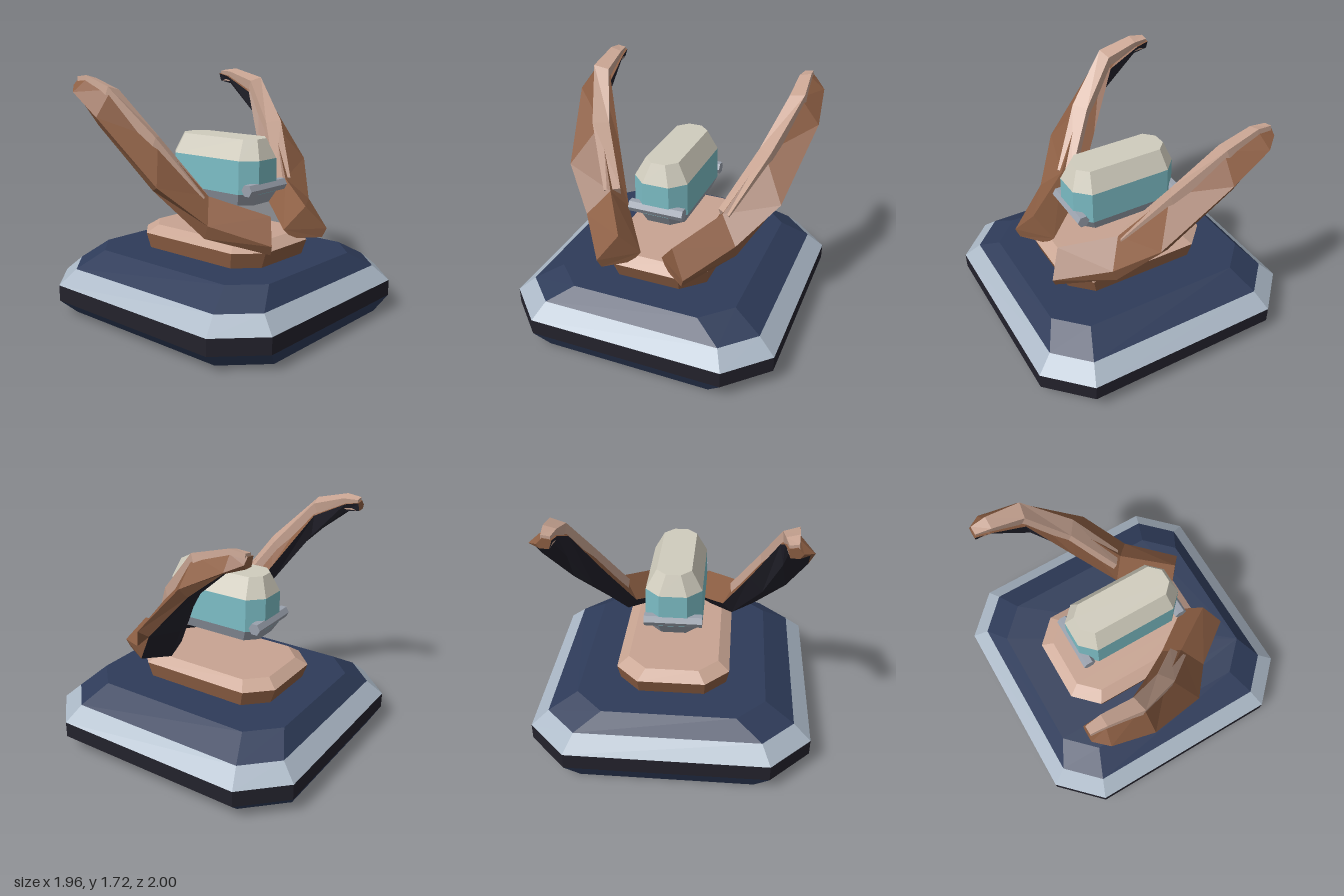
import * as THREE from 'three';

const mat = (name, color, side = THREE.FrontSide) => {
  const m = new THREE.MeshStandardMaterial({ color, side });
  m.name = name;
  return m;
};

// Flat-faced loft through rings of equal length; "sides" picks which strips to build.
function loft(rings, { sides = null, start = false, end = false, flip = false } = {}) {
  const out = [];
  const tri = (a, b, c) => out.push(...a, ...(flip ? c : b), ...(flip ? b : c));
  const n = rings[0].length;
  for (let r = 0; r < rings.length - 1; r++) {
    const lo = rings[r], hi = rings[r + 1];
    for (let i = 0; i < n; i++) {
      if (sides && !sides.includes(i)) continue;
      const j = (i + 1) % n;
      tri(lo[i], lo[j], hi[j]);
      tri(lo[i], hi[j], hi[i]);
    }
  }
  const first = rings[0], last = rings[rings.length - 1];
  for (let i = 1; i < n - 1; i++) {
    if (start) tri(first[0], first[i + 1], first[i]);
    if (end) tri(last[0], last[i], last[i + 1]);
  }
  const g = new THREE.BufferGeometry();
  g.setAttribute('position', new THREE.Float32BufferAttribute(out, 3));
  g.computeVertexNormals();
  return g;
}

// Rectangle with cut corners at height y: half sizes hx, hz and corner cut c.
function octagon(y, hx, hz, c) {
  const x = hx - c, z = hz - c;
  return [[-x, hz], [x, hz], [hx, z], [hx, -z], [x, -hz], [-x, -hz], [-hx, -z], [-hx, z]]
    .map(([px, pz]) => [px, y, pz]);
}

export function createModel() {
  const model = new THREE.Group();
  model.name = 'monument';

  const navy = mat('navy', 0x2e3b59);
  const dark = mat('dark', 0x23222c);
  const paleGrey = mat('pale grey', 0xaab7c5);
  const brown = mat('brown', 0x8c5e43);
  const tan = mat('tan', 0xc8a492);
  const teal = mat('teal', 0x7bbcc4);
  const cream = mat('cream', 0xd0ccbd);
  const steel = mat('steel', 0x9aa1ad);

  const add = (parent, name, geometry, material) => {
    const mesh = new THREE.Mesh(geometry, material);
    mesh.name = name;
    parent.add(mesh);
    return mesh;
  };
  const group = (name) => {
    const g = new THREE.Group();
    g.name = name;
    model.add(g);
    return g;
  };

  // Stacked bands of the base
  const base = group('base');
  const b = [
    octagon(0, 0.86, 0.94, 0.26),
    octagon(0.11, 0.98, 1.0, 0.28),
    octagon(0.225, 0.98, 1.0, 0.28),
    octagon(0.33, 0.86, 0.89, 0.22),
    octagon(0.445, 0.66, 0.785, 0.2),
  ];
  add(base, 'baseBottom', loft([b[0], b[0]], { sides: [], start: true }), dark);
  add(base, 'baseLowerBand', loft([b[0], b[1]]), navy);
  add(base, 'baseRim', loft([b[1], b[2]]), dark);
  add(base, 'baseUpperBevel', loft([b[2], b[3]]), paleGrey);
  add(base, 'baseTop', loft([b[3], b[4]], { end: true }), navy);

  // Pedestal on the base
  const pedestal = group('pedestal');
  const p = [
    octagon(0.44, 0.38, 0.54, 0.15),
    octagon(0.555, 0.4, 0.58, 0.165),
    octagon(0.612, 0.32, 0.5, 0.135),
  ];
  add(pedestal, 'pedestalBody', loft([p[0], p[1]]), brown);
  add(pedestal, 'pedestalTop', loft([p[1], p[2]], { end: true }), tan);

  // Floating capsule
  const capsule = group('capsule');
  const c = [
    octagon(0.825, 0.165, 0.35, 0.08),
    octagon(0.91, 0.2, 0.405, 0.1),
    octagon(1.145, 0.195, 0.405, 0.1),
    octagon(1.285, 0.12, 0.35, 0.07),
  ];
  add(capsule, 'capsuleFloor', loft([c[0], c[1]], { start: true }), steel);
  add(capsule, 'capsuleWindow', loft([c[1], c[2]]), teal);
  add(capsule, 'capsuleRoof', loft([c[2], c[3]], { end: true }), cream);

  // Hexagonal bars across the two ends
  for (const s of [1, -1]) {
    const bar = new THREE.CylinderGeometry(0.045, 0.045, 0.4, 6).toNonIndexed();
    bar.rotateZ(Math.PI / 2);
    bar.computeVertexNormals();
    add(capsule, s > 0 ? 'frontBar' : 'backBar', bar, steel).position.set(0, 0.947, s * 0.38);
  }

  // Arm sections: inner, crest, outer, outer bottom, inner bottom
  const armRings = [
    [[0.08, 0.64, 0.49], [0.2, 0.805, 0.59], [0.32, 0.64, 0.695], [0.3, 0.575, 0.67], [0.13, 0.575, 0.53]],
    [[0.33, 0.77, 0.15], [0.43, 0.93, 0.24], [0.57, 0.77, 0.36], [0.57, 0.68, 0.33], [0.4, 0.67, 0.19]],
    [[0.51, 1.14, -0.09], [0.63, 1.31, -0.03], [0.81, 1.03, 0.14], [0.78, 1.0, 0.07], [0.61, 1.01, -0.06]],
    [[0.69, 1.54, -0.34], [0.78, 1.635, -0.31], [0.925, 1.46, -0.3], [0.88, 1.4, -0.33], [0.72, 1.37, -0.31]],
    [[0.7, 1.66, -0.58], [0.79, 1.69, -0.57], [0.885, 1.61, -0.59], [0.86, 1.59, -0.57], [0.73, 1.6, -0.57]],
    [[0.71, 1.68, -0.68], [0.77, 1.69, -0.68], [0.81, 1.65, -0.68], [0.79, 1.62, -0.68], [0.73, 1.62, -0.68]],
  ];
  // Two top edges of the ridge strip along the crest
  const ridgeEdges = [
    [[0.38, 0.93, 0.18], [0.48, 0.93, 0.25]],
    [[0.58, 1.32, -0.07], [0.68, 1.33, 0.0]],
    [[0.7, 1.63, -0.33], [0.81, 1.655, -0.31]],
    [[0.705, 1.7, -0.56], [0.79, 1.722, -0.56]],
    [[0.72, 1.7, -0.67], [0.78, 1.71, -0.67]],
  ];
  const sink = ([x, y, z]) => [x + 0.01, y - 0.08, z - 0.03 * (z > -0.5)];
  const ridgeRings = ridgeEdges.map(([i, o]) => [i, o, sink(o), sink(i)]);

  for (const s of [1, -1]) {
    const arm = group(s > 0 ? 'leftArm' : 'rightArm');
    const mirror = (rings) => rings.map((r) => r.map(([x, y, z]) => [s * x, y, z]));
    const flip = s < 0;
    const rings = mirror(armRings);
    add(arm, 'armBody', loft(rings, { sides: [0, 1, 2], start: true, end: true, flip }), brown);
    add(arm, 'armUnderside', loft(rings, { sides: [3, 4], flip }), dark);
    add(arm, 'armRidge', loft(mirror(ridgeRings), { start: true, end: true, flip }), tan);
  }
  return model;
}
